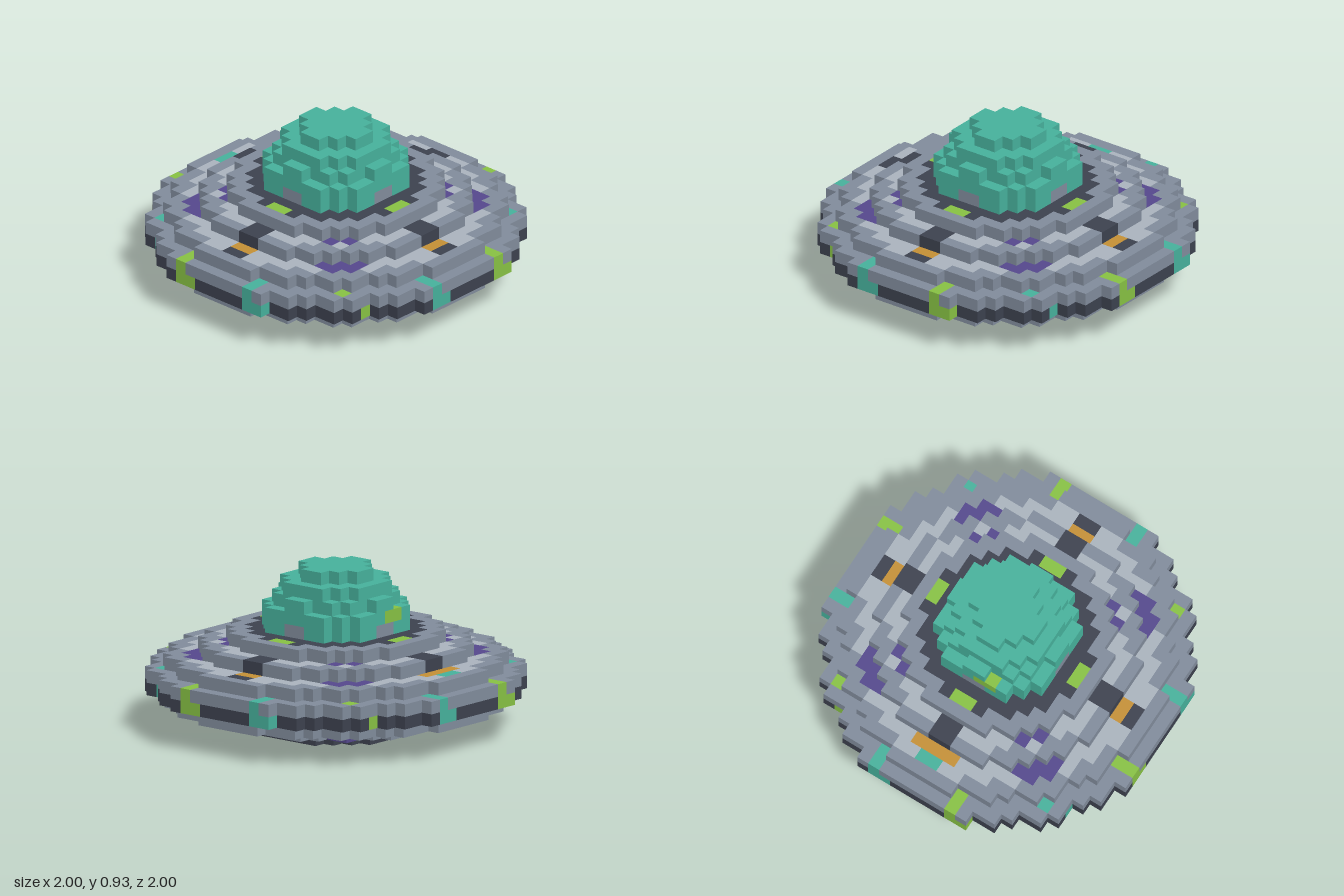
import * as THREE from 'three';

const N = 28, H = 13, S = 2 / N;
const mat = (name, color) => Object.assign(new THREE.MeshStandardMaterial({ color }), { name });
const MATS = {
  hull: mat('hull grey', 0x808b9b),
  pale: mat('pale grey', 0xa9b2bc),
  dark: mat('charcoal', 0x3c414e),
  teal: mat('teal', 0x46b09b),
  lime: mat('lime', 0x86c043),
  purple: mat('purple', 0x54478c),
  orange: mat('orange', 0xc38f35),
};

// One entry per voxel layer, bottom to top: part name and [radius, colour] discs from inside out
const LAYERS = [
  ['base', [2.25, 'teal'], [4.25, 'orange'], [6.25, 'dark']],
  ['lowerHull', [7.6, 'dark'], [9.25, 'hull']],
  ['lowerHull', [10, 'dark'], [12.85, 'hull']],
  ['rim', [14.25, 'dark']],
  ['rim', [14.25, 'hull']],
  ['upperHull', [11.8, 'pale'], [12.85, 'hull']],
  ['upperHull', [9.25, 'pale'], [10.25, 'hull']],
  ['upperHull', [6.75, 'dark'], [8.25, 'hull']],
  ['dome', [5.25, 'teal']],
  ['dome', [5.25, 'teal']],
  ['dome', [4.7, 'teal']],
  ['dome', [4.2, 'teal']],
  ['dome', [2.75, 'teal']],
];

// Painted voxels, keyed by layer and cell centre
const paint = new Map();
const key = (y, x, z) => `${y},${x},${z}`;
const put = (y, x, z, c) => paint.set(key(y, x, z), c);

// Rotate a cell by quarter turns about the vertical axis
function turn(x, z, q) {
  for (let i = 0; i < q; i++) [x, z] = [-z, x];
  return [x, z];
}

for (let q = 0; q < 4; q++) {
  const spot = (y, x, z, c) => put(y, ...turn(x, z, q), c);
  const [a, b] = q % 2 ? ['teal', 'lime'] : ['lime', 'teal'];
  // Rim lights
  for (const x of [12.5, 13.5]) {
    for (const z of [2.5, 3.5]) spot(3, x, z, a);
    for (const z of [-3.5, -4.5]) spot(3, x, z, b);
    spot(4, x, 3.5, a);
    spot(4, x, -3.5, b);
  }
  spot(3, 10.5, 8.5, b);
  spot(4, 9.5, 9.5, b);
  // Spokes, collar lights and dome vents
  for (const z of [-0.5, 0.5]) {
    spot(5, 11.5, z, q === 3 ? 'teal' : 'dark');
    spot(5, 10.5, z, 'orange');
    spot(6, 9.5, z, 'dark');
    spot(6, 8.5, z, 'dark');
    spot(7, 6.5, z, 'lime');
    spot(8, 4.5, z, 'hull');
  }
  // Diagonal purple panels above
  for (const x of [6.5, 7.5, 8.5])
    for (const z of [6.5, 7.5, 8.5]) if (x + z < 17) spot(5, x, z, 'purple');
  spot(6, 5.5, 6.5, 'purple');
  spot(6, 6.5, 5.5, 'purple');
  // Purple thrusters below
  for (const x of [4.5, 5.5, 6.5])
    for (const z of [4.5, 5.5, 6.5]) spot(1, x, z, 'purple');
}
// Wider rear hatch and the lamp on the back of the dome
for (const x of [-1.5, 1.5]) put(5, x, -10.5, 'orange');
for (const x of [-0.5, -1.5]) put(9, x, -4.5, 'lime');

// Colour of a voxel, or null where it is empty
function colourAt(x, y, z) {
  if (y < 0 || y >= H) return null;
  const disc = LAYERS[y].slice(1).find(([r]) => x * x + z * z <= r * r);
  return disc ? paint.get(key(y, x, z)) ?? disc[1] : null;
}

// Outward normal and two edge directions (u cross v = normal)
const FACES = [
  [[1, 0, 0], [0, 1, 0], [0, 0, 1]], [[-1, 0, 0], [0, 0, 1], [0, 1, 0]],
  [[0, 1, 0], [0, 0, 1], [1, 0, 0]], [[0, -1, 0], [1, 0, 0], [0, 0, 1]],
  [[0, 0, 1], [1, 0, 0], [0, 1, 0]], [[0, 0, -1], [0, 1, 0], [1, 0, 0]],
];
const CORNERS = [[-1, -1], [1, -1], [1, 1], [-1, -1], [1, 1], [-1, 1]];

export function createModel() {
  const model = new THREE.Group();
  model.name = 'flyingSaucer';
  const parts = {};

  // Collect the exposed voxel faces of each part and colour
  for (let y = 0; y < H; y++)
    for (let x = 0.5 - N / 2; x < N / 2; x++)
      for (let z = 0.5 - N / 2; z < N / 2; z++) {
        const colour = colourAt(x, y, z);
        if (!colour) continue;
        const colours = (parts[LAYERS[y][0]] ??= {});
        const out = (colours[colour] ??= { position: [], normal: [] });
        const centre = [x, y + 0.5, z];
        for (const [n, u, v] of FACES) {
          if (colourAt(x + n[0], y + n[1], z + n[2])) continue;
          for (const [a, b] of CORNERS) {
            out.position.push(...centre.map((c, i) => (c + (n[i] + a * u[i] + b * v[i]) / 2) * S));
            out.normal.push(...n);
          }
        }
      }

  // One group per part, one mesh per colour
  for (const [part, colours] of Object.entries(parts)) {
    const group = new THREE.Group();
    group.name = part;
    for (const [colour, data] of Object.entries(colours)) {
      const geo = new THREE.BufferGeometry();
      for (const k of ['position', 'normal'])
        geo.setAttribute(k, new THREE.Float32BufferAttribute(data[k], 3));
      const mesh = new THREE.Mesh(geo, MATS[colour]);
      mesh.name = `${part} ${MATS[colour].name}`;
      group.add(mesh);
    }
    model.add(group);
  }
  return model;
}
